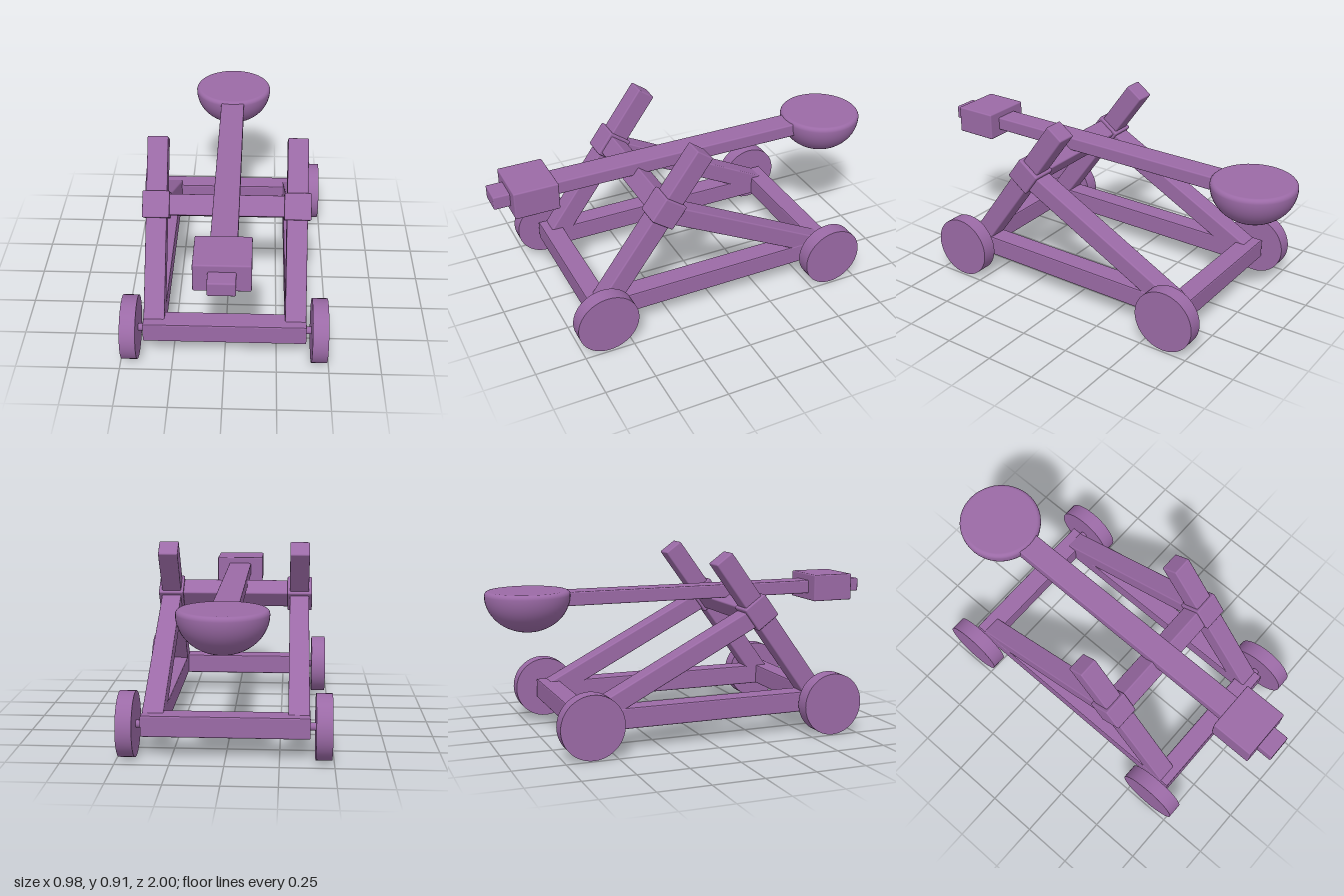
import * as THREE from 'three';
import { RoundedBoxGeometry } from 'three/addons/geometries/RoundedBoxGeometry.js';

const material = new THREE.MeshStandardMaterial({ color: 0x9b6aa6 });

export function createModel() {
  const model = new THREE.Group();

  const add = (name, geometry, x = 0, y = 0, z = 0) => {
    const mesh = new THREE.Mesh(geometry, material);
    mesh.name = name;
    mesh.position.set(x, y, z);
    model.add(mesh);
    return mesh;
  };
  const block = (w, h, d) => new RoundedBoxGeometry(w, h, d, 2, 0.007);

  // Square beam between two [y, z] points in the plane at x
  const beam = (name, x, [y0, z0], [y1, z1], width, depth) => {
    const length = Math.hypot(y1 - y0, z1 - z0);
    const mesh = add(name, block(width, length, depth), x, (y0 + y1) / 2, (z0 + z1) / 2);
    mesh.rotation.x = Math.atan2(z1 - z0, y1 - y0);
    return mesh;
  };

  // Rectangular base frame
  const rectangle = (Type, w, d) => new Type([
    new THREE.Vector2(-w, -d), new THREE.Vector2(w, -d),
    new THREE.Vector2(w, d), new THREE.Vector2(-w, d),
  ]);
  const outline = rectangle(THREE.Shape, 0.383, 0.661);
  outline.holes.push(rectangle(THREE.Path, 0.295, 0.573));
  const frame = new THREE.ExtrudeGeometry(outline, {
    depth: 0.088, bevelThickness: 0.007, bevelSize: 0.007, bevelSegments: 2,
  });
  frame.rotateX(-Math.PI / 2);
  add('baseFrame', frame, 0, 0.112, 0);

  // Wheels on short axle stubs
  const wheel = new THREE.CylinderGeometry(0.154, 0.154, 0.075, 48).rotateZ(Math.PI / 2);
  const axle = new THREE.CylinderGeometry(0.018, 0.018, 0.08, 20).rotateZ(Math.PI / 2);

  const pivot = [0.622, 0.263];
  const lean = Math.atan2(-0.195, 0.268);
  for (const [side, s] of [['left', 1], ['right', -1]]) {
    for (const [end, z] of [['Front', 0.62], ['Back', -0.617]]) {
      add(`${side}${end}Wheel`, wheel, s * 0.452, 0.154, z);
      add(`${side}${end}Axle`, axle, s * 0.4, 0.154, z);
    }
    // Leaning post, rear brace and the collar joining them
    beam(`${side}Post`, s * 0.338, [0.165, 0.594], [0.888, 0.07], 0.1, 0.1);
    beam(`${side}Brace`, s * 0.338, [0.165, -0.6], [0.607, 0.255], 0.1, 0.092);
    const collar = add(`${side}Collar`, block(0.13, 0.13, 0.13), s * 0.34, ...pivot);
    collar.rotation.x = lean;
  }

  // Crossbar carrying the arm
  const crossbar = add('crossbar', block(0.6, 0.102, 0.102), 0, ...pivot);
  crossbar.rotation.x = lean;

  // Throwing arm and counterweight
  add('throwingArm', block(0.124, 0.068, 1.66), 0, 0.687, 0.17);
  add('counterweight', block(0.256, 0.138, 0.22), 0, 0.686, 0.81);

  // Solid half-round bowl with a softened rim and flat top
  const profile = [];
  for (let i = 0; i <= 20; i++) {
    const a = (i / 20) * Math.PI / 2;
    profile.push(new THREE.Vector2(0.206 * Math.sin(a), -0.18 * Math.cos(a)));
  }
  for (let i = 1; i <= 5; i++) {
    const a = (i / 5) * Math.PI / 2;
    profile.push(new THREE.Vector2(0.186 + 0.02 * Math.cos(a), 0.022 * Math.sin(a)));
  }
  profile.push(new THREE.Vector2(0, 0.022));
  add('bowl', new THREE.LatheGeometry(profile, 48), 0, 0.71, -0.794);

  return model;
}
